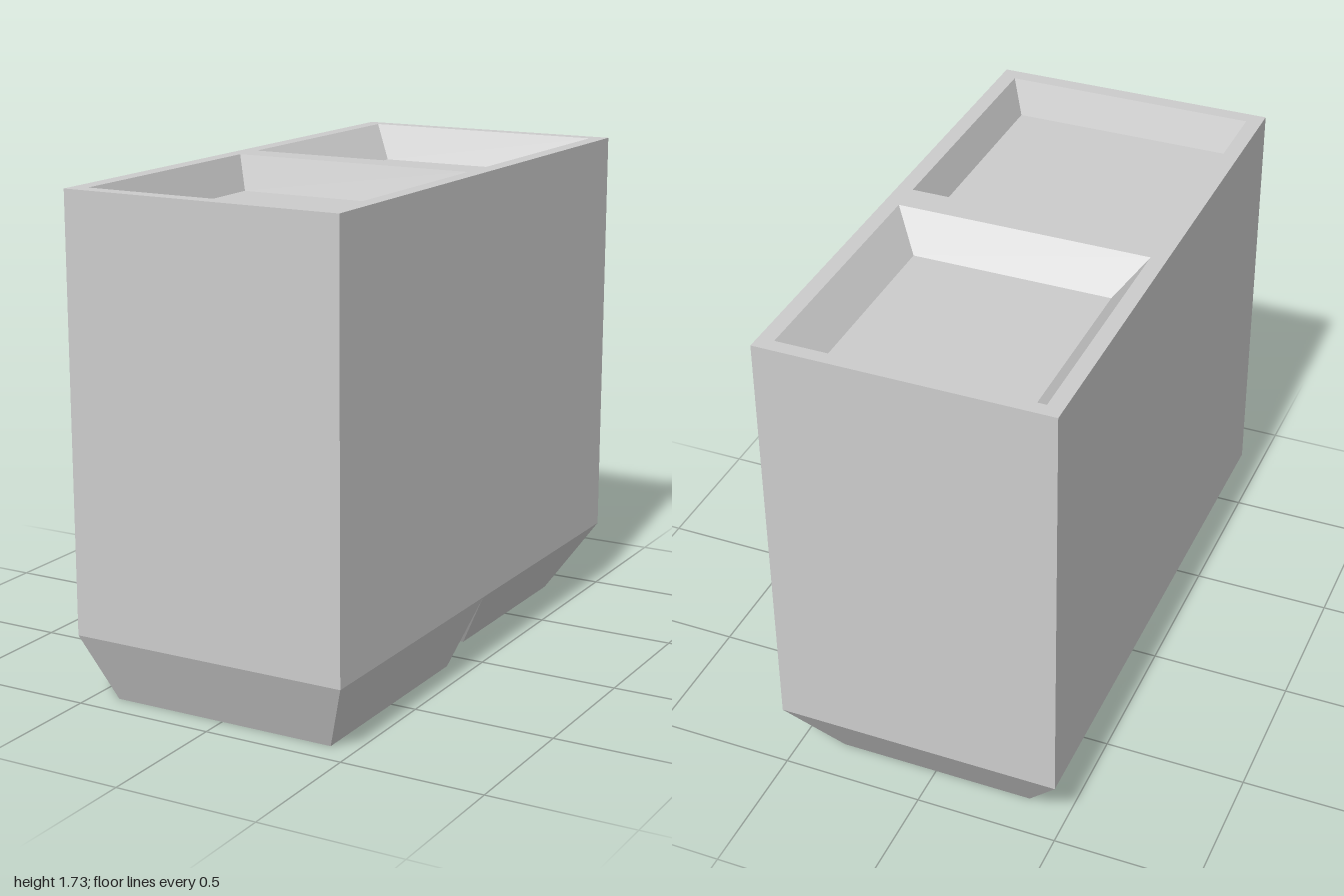
import * as THREE from 'three';

const TOP = 1.73, SHOULDER = 0.24, FLOOR = 1.61;
const material = new THREE.MeshStandardMaterial({ color: 0xcccccc, flatShading: true });

// Rectangle section: half width, back z, front z
const corners = ([w, z0, z1], y) => [[-w, y, z1], [w, y, z1], [w, y, z0], [-w, y, z0]];

// Four sloped walls from one rectangle to another; cap closes the first ('bottom') or second ('floor')
function taper(name, from, yFrom, to, yTo, cap) {
  const a = corners(from, yFrom), b = corners(to, yTo), points = [];
  const quad = (p, q, r, s) => points.push(...p, ...q, ...r, ...p, ...r, ...s);
  for (let i = 0; i < 4; i++) {
    const j = (i + 1) % 4;
    quad(a[i], a[j], b[j], b[i]);
  }
  if (cap === 'bottom') quad(a[3], a[2], a[1], a[0]);
  if (cap === 'floor') quad(...b);
  const geometry = new THREE.BufferGeometry();
  geometry.setAttribute('position', new THREE.Float32BufferAttribute(points, 3));
  geometry.computeVertexNormals();
  const mesh = new THREE.Mesh(geometry, material);
  mesh.name = name;
  return mesh;
}

// Flat outline of a section, in the plane of the rim
const outline = (section) => corners(section, 0).map(([x, , z]) => new THREE.Vector2(x, -z));

export function createModel() {
  const group = new THREE.Group();
  group.name = 'twinBlock';
  const body = [0.5, -1, 1];

  // Tall outer walls
  group.add(taper('bodyWalls', body, SHOULDER, body, TOP));

  // Each half has a tapered foot and a matching recess in the top
  const halves = [
    { side: 'front', foot: [0.41, 0.095, 0.905], half: [0.5, 0, 1], rim: [0.445, 0.05, 0.945], floor: [0.4, 0.093, 0.9] },
    { side: 'rear', foot: [0.35, -0.85, -0.15], half: [0.5, -1, 0], rim: [0.445, -0.95, -0.06], floor: [0.35, -0.855, -0.158] },
  ];
  const rimShape = new THREE.Shape(outline(body));
  for (const { side, foot, half, rim, floor } of halves) {
    group.add(taper(side + 'Foot', foot, 0, half, SHOULDER, 'bottom'));
    group.add(taper(side + 'Recess', rim, TOP, floor, FLOOR, 'floor'));
    rimShape.holes.push(new THREE.Path(outline(rim)));
  }

  // Top rim with the divider between the recesses
  const topRim = new THREE.Mesh(new THREE.ShapeGeometry(rimShape).rotateX(-Math.PI / 2), material);
  topRim.position.y = TOP;
  topRim.name = 'topRim';
  group.add(topRim);
  return group;
}
